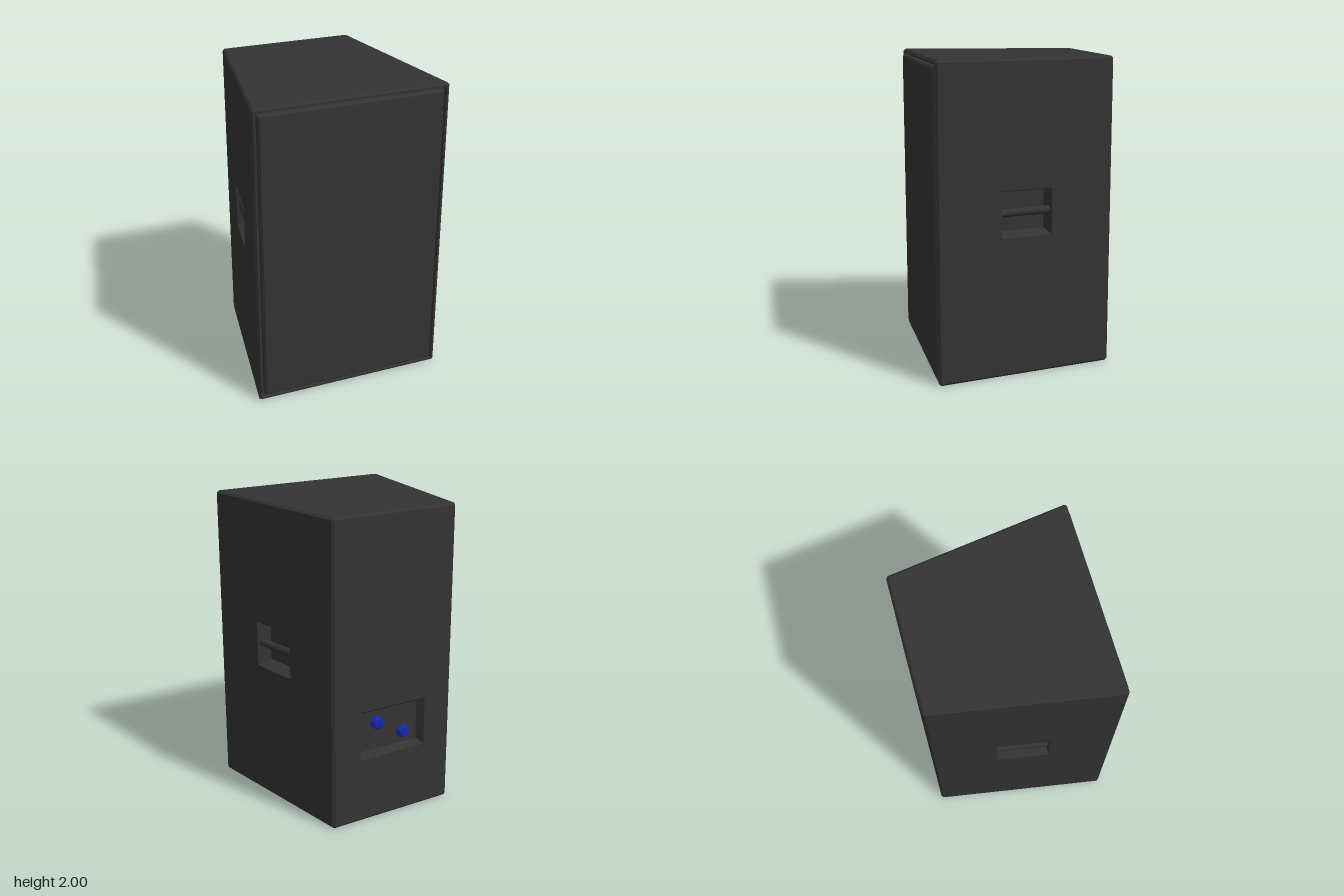
import * as THREE from 'three';

const H = 2, ZF = 0.575, ZB = -0.585, XF = 0.63, XB = 0.445, C = 0.014;
const LEN = Math.hypot(XF - XB, ZF - ZB);      // length of a slanted side
const dark = new THREE.MeshStandardMaterial({ color: 0x333333 });
const blue = new THREE.MeshStandardMaterial({ color: 0x1428b4 });

function add(parent, name, geometry, material = dark) {
  const mesh = new THREE.Mesh(geometry, material);
  mesh.name = name;
  parent.add(mesh);
  return mesh;
}

// Flat-faced skin between closed rings; skip(ring, edge) leaves openings.
function skin(rings, skip = () => false) {
  const pos = [], t = new THREE.Triangle();
  for (let r = 0; r < rings.length - 1; r++) {
    const lo = rings[r], hi = rings[r + 1], n = lo.length;
    for (let i = 0; i < n; i++) {
      if (skip(r, i)) continue;
      const j = (i + 1) % n;
      for (const tri of [[lo[i], lo[j], hi[j]], [lo[i], hi[j], hi[i]]]) {
        t.set(...tri);
        if (t.getArea() > 1e-9) tri.forEach(p => pos.push(p.x, p.y, p.z));
      }
    }
  }
  const g = new THREE.BufferGeometry();
  g.setAttribute('position', new THREE.Float32BufferAttribute(pos, 3));
  g.computeVertexNormals();
  return g;
}

const rectPoints = (w, h, y = 0) => [[-1, -1], [1, -1], [1, 1], [-1, 1]]
  .map(([a, b]) => new THREE.Vector2(a * w / 2, y + b * h / 2));

// Horizontal outline of the cabinet: inset by t, corners cut by c.
function outline(y, t, c) {
  const xAt = z => XB + (XF - XB) * (z - ZB) / (ZF - ZB) - t * LEN / (ZF - ZB);
  const zf = ZF - t, zb = ZB + t;
  const k = [[-xAt(zf), zf], [xAt(zf), zf], [xAt(zb), zb], [-xAt(zb), zb]]
    .map(([x, z]) => new THREE.Vector3(x, y, z));
  const toward = (a, b) => a.clone().add(b.clone().sub(a).setLength(c));
  return k.flatMap((p, i) => [toward(p, k[(i + 3) % 4]), toward(p, k[(i + 1) % 4])]);
}

// Wall facing local +z with a tapered rectangular recess.
function recessedPanel(name, w, h, hole) {
  const group = new THREE.Group();
  group.name = name;
  const { width, height, y, depth, tx, ty } = hole;
  const shape = new THREE.Shape(rectPoints(w, h));
  shape.holes.push(new THREE.Path(rectPoints(width, height, y)));
  add(group, 'wall', new THREE.ShapeGeometry(shape));
  const lift = (pts, z) => pts.map(p => new THREE.Vector3(p.x, p.y, z));
  const iw = width - 2 * tx, ih = height - 2 * ty;
  add(group, 'recessRim', skin([
    lift(rectPoints(width, height, y), 0), lift(rectPoints(iw, ih, y), -depth)]));
  add(group, 'recessFloor', new THREE.PlaneGeometry(iw, ih)).position.set(0, y, -depth);
  return group;
}

// Round connector with a raised collar and a cross key.
function connector() {
  const group = new THREE.Group();
  group.name = 'connector';
  const profile = [[0, 0], [0.042, 0], [0.042, 0.012], [0.036, 0.016], [0.036, 0.032], [0.03, 0.037], [0, 0.037]]
    .map(([x, y]) => new THREE.Vector2(x, y));
  const body = new THREE.LatheGeometry(profile, 24).toNonIndexed();
  body.computeVertexNormals();
  body.rotateX(Math.PI / 2);
  add(group, 'connectorBody', body, blue);
  for (const [w, h] of [[0.012, 0.05], [0.05, 0.012]])
    add(group, 'connectorKey', new THREE.BoxGeometry(w, h, 0.01), blue).position.z = 0.038;
  return group;
}

export function createModel() {
  const model = new THREE.Group();
  model.name = 'speakerCabinet';

  // Chamfered shell with top and bottom; the four walls are separate panels
  const centre = y => Array.from({ length: 8 }, () => new THREE.Vector3(0, y, 0));
  const rings = [centre(0), outline(0, C, 0), outline(C, 0, C),
    outline(H - C, 0, C), outline(H, C, 0), centre(H)];
  add(model, 'cabinetShell', skin(rings, (r, i) => r === 2 && i % 2 === 1));

  // Front wall with a shallow seat for the grille
  const front = recessedPanel('frontFrame', 2 * (XF - C), H - 2 * C,
    { width: 1.212, height: 1.954, y: 0, depth: 0.03, tx: 0.002, ty: 0.002 });
  front.position.set(0, H / 2, ZF);
  model.add(front);

  // Grille with bevelled border
  const b = 0.012;
  const grille = add(model, 'grille', new THREE.ExtrudeGeometry(
    new THREE.Shape(rectPoints(1.184 - 2 * b, 1.924 - 2 * b)),
    { depth: 0.028, bevelEnabled: true, bevelSize: b, bevelThickness: b, bevelSegments: 1 }));
  grille.position.set(0, H / 2, ZF + 0.01 - b - 0.028);

  // Side walls, each with a recessed carrying handle
  for (const s of [1, -1]) {
    const side = recessedPanel(s > 0 ? 'leftSide' : 'rightSide', LEN - 2 * C, H - 2 * C,
      { width: 0.34, height: 0.3, y: 0.05, depth: 0.1, tx: 0.012, ty: 0.025 });
    side.position.set(s * (XF + XB) / 2, H / 2, (ZF + ZB) / 2);
    side.rotation.y = s * Math.atan2(ZF - ZB, XB - XF);
    const bar = add(side, 'handleBar', new THREE.CylinderGeometry(0.025, 0.025, 0.334, 20));
    bar.rotation.z = Math.PI / 2;
    bar.position.set(0, 0.054, -0.04);
    model.add(side);
  }

  // Back wall with the connector plate
  const back = recessedPanel('backWall', 2 * (XB - C), H - 2 * C,
    { width: 0.49, height: 0.325, y: -0.407, depth: 0.05, tx: 0.03, ty: 0.03 });
  back.position.set(0, H / 2, ZB);
  back.rotation.y = Math.PI;
  for (const s of [1, -1]) {
    const plug = connector();
    plug.position.set(-s * 0.1, -0.407 + s * 0.052, -0.05);
    back.add(plug);
  }
  model.add(back);
  return model;
}
